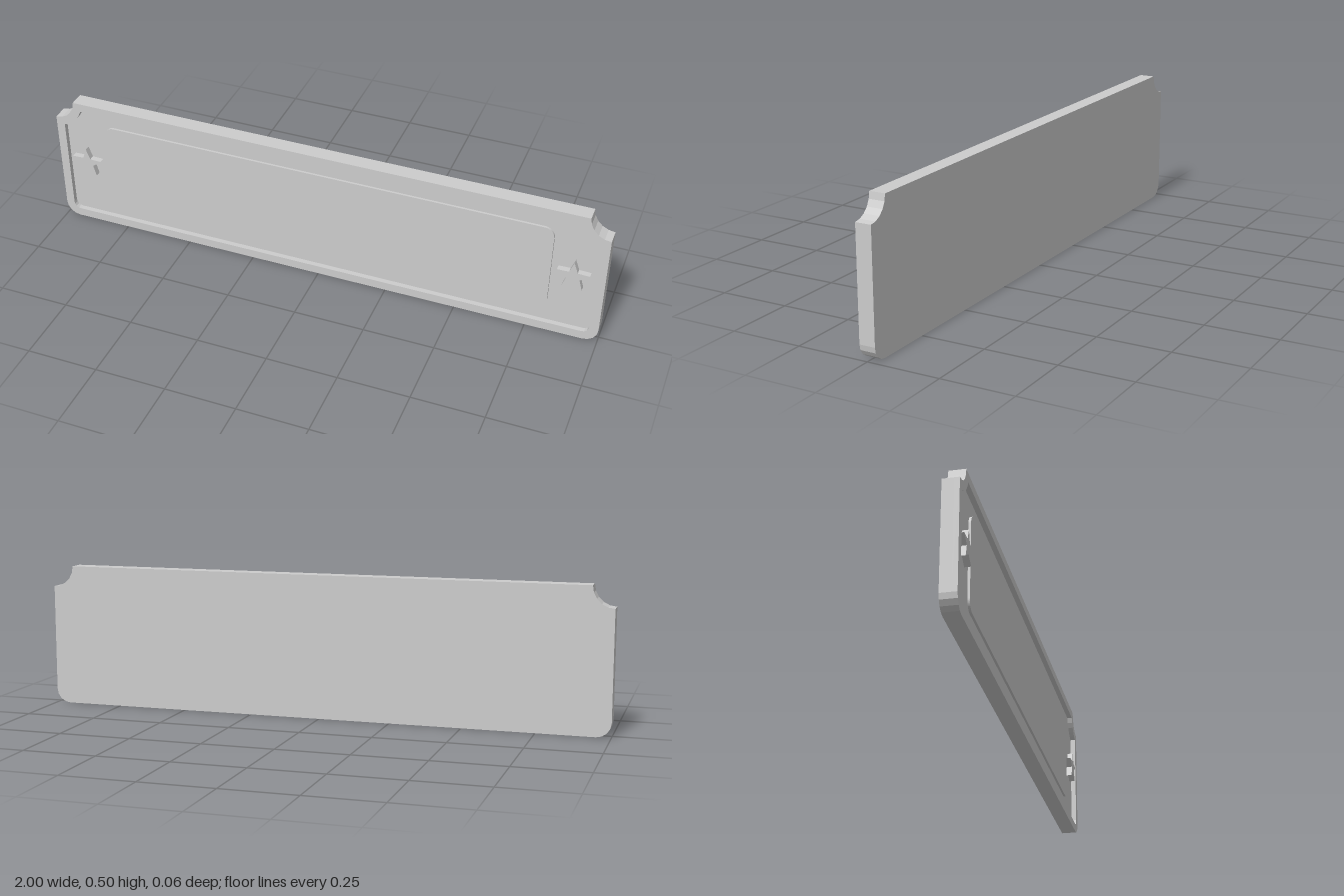
import * as THREE from 'three';

const BACK = -0.029, FLOOR = 0.008, RIM = 0.026, STAR = 0.029;

// Plate outline: rounded lower corners, scooped upper corners; inset shrinks it evenly
function plaqueShape(inset) {
  const w = 1 - inset, b = inset, t = 0.5 - inset;
  const r = 0.05 - inset * 0.8;            // lower corner radius
  const n = 0.074 + inset;                 // scoop radius about the outer corner
  const a = Math.asin(inset / n);          // scoop angle cut off by the inset
  const pts = [];
  const arc = (cx, cy, rad, from, to, steps) => {
    for (let i = 0; i <= steps; i++) {
      const k = from + (to - from) * i / steps;
      pts.push(new THREE.Vector2(cx + rad * Math.cos(k), cy + rad * Math.sin(k)));
    }
  };
  arc(-w + r, b + r, r, Math.PI, Math.PI * 1.5, 4);
  arc(w - r, b + r, r, Math.PI * 1.5, Math.PI * 2, 4);
  arc(1, 0.5, n, Math.PI * 1.5 - a, Math.PI + a, 5);
  arc(-1, 0.5, n, -a, -Math.PI / 2 + a, 5);
  return new THREE.Shape(pts);
}

function panelShape(x, y0, y1, r) {
  const s = new THREE.Shape();
  s.absarc(x - r, y0 + r, r, -Math.PI / 2, 0, false);
  s.absarc(x - r, y1 - r, r, 0, Math.PI / 2, false);
  s.absarc(-x + r, y1 - r, r, Math.PI / 2, Math.PI, false);
  s.absarc(-x + r, y0 + r, r, Math.PI, Math.PI * 1.5, false);
  s.closePath();
  return s;
}

function starShape(outer, inner) {
  const pts = [];
  for (let i = 0; i < 10; i++) {
    const r = i % 2 ? inner : outer, k = Math.PI / 2 + i * Math.PI / 5;
    pts.push(new THREE.Vector2(r * Math.cos(k), r * Math.sin(k)));
  }
  return new THREE.Shape(pts);
}

export function createModel() {
  const group = new THREE.Group();
  const grey = new THREE.MeshStandardMaterial({ color: 0xcccccc });
  grey.name = 'light grey';

  const add = (name, shape, z0, z1, x = 0, y = 0) => {
    const geo = new THREE.ExtrudeGeometry(shape, { depth: z1 - z0, bevelEnabled: false, curveSegments: 6 });
    const mesh = new THREE.Mesh(geo, grey);
    mesh.name = name;
    mesh.position.set(x, y, z0);
    group.add(mesh);
  };

  // Backing plate up to the recessed floor
  add('backPlate', plaqueShape(0), BACK, FLOOR);

  // Raised border around the recess
  const border = plaqueShape(0);
  border.holes.push(plaqueShape(0.031));
  add('raisedBorder', border, FLOOR, RIM);

  // Slightly raised central panel
  add('centrePanel', panelShape(0.815, 0.09, 0.417, 0.035), FLOOR, FLOOR + 0.008);

  // Star at each end
  for (const side of [-1, 1]) {
    add(side < 0 ? 'rightStar' : 'leftStar', starShape(0.058, 0.024), FLOOR, STAR, side * 0.893, 0.252);
  }
  return group;
}
